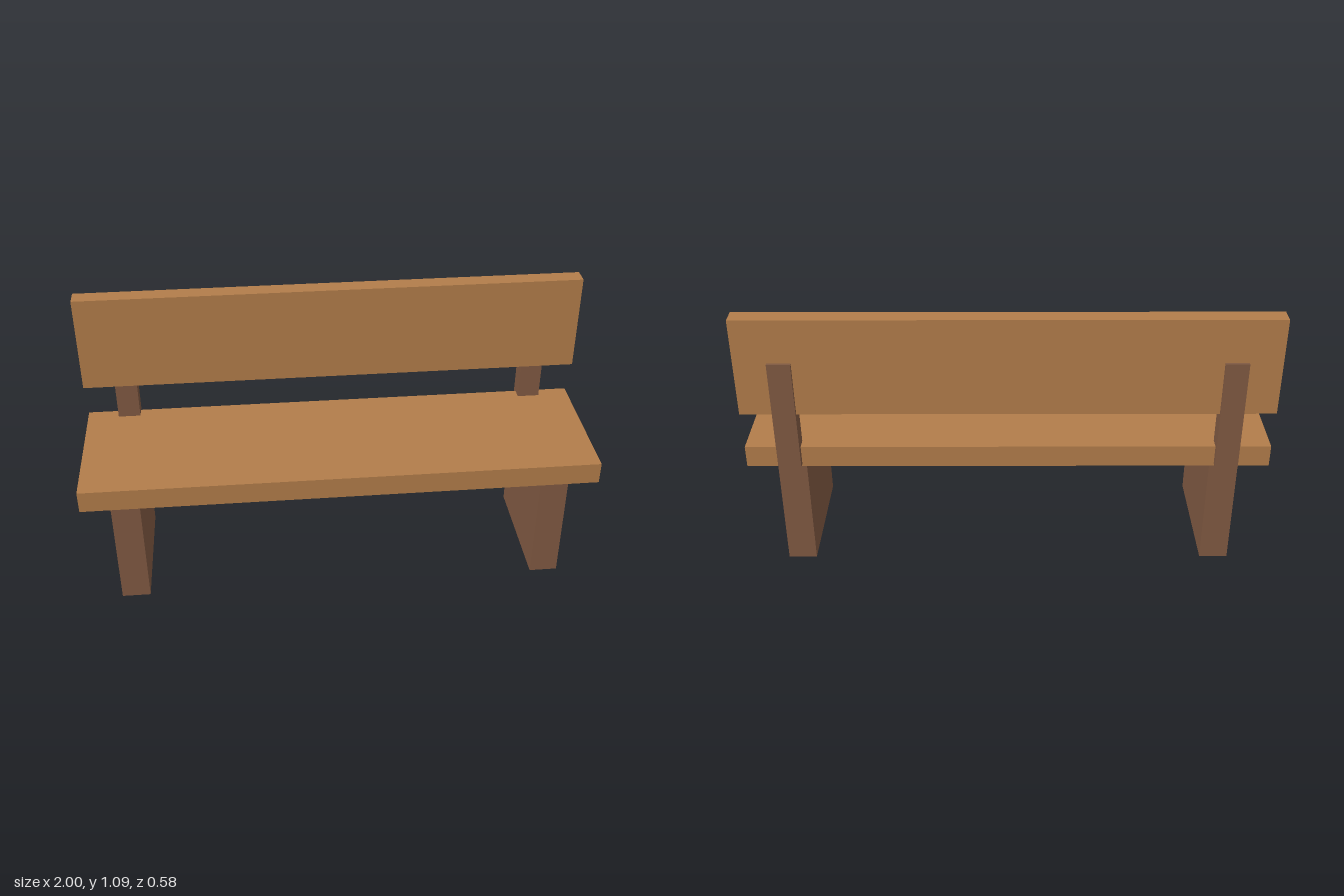
import * as THREE from 'three';

export function createModel() {
  const bench = new THREE.Group();
  bench.name = 'bench';

  const lightWood = new THREE.MeshStandardMaterial({ color: 0xb27d4a });
  lightWood.name = 'light wood';
  const darkWood = new THREE.MeshStandardMaterial({ color: 0x805942 });
  darkWood.name = 'dark wood';

  // Box given by its [min, max] extent on each axis
  function addBox(name, material, [x0, x1], [y0, y1], [z0, z1]) {
    const mesh = new THREE.Mesh(new THREE.BoxGeometry(x1 - x0, y1 - y0, z1 - z0), material);
    mesh.position.set((x0 + x1) / 2, (y0 + y1) / 2, (z0 + z1) / 2);
    mesh.name = name;
    bench.add(mesh);
  }

  // Seat and backrest planks
  addBox('seat', lightWood, [-1, 1], [0.458, 0.545], [-0.265, 0.289]);
  addBox('backrest', lightWood, [-1, 1], [0.697, 1.085], [-0.277, -0.21]);

  // Slab legs and backrest posts, one of each per side
  for (const [side, s] of [['left', 1], ['right', -1]]) {
    const span = (a, b) => (s > 0 ? [a, b] : [-b, -a]);
    addBox(`${side}Leg`, darkWood, span(0.777, 0.888), [0, 0.458], [-0.238, 0.262]);
    addBox(`${side}BackPost`, darkWood, span(0.788, 0.876), [0.469, 0.912], [-0.289, -0.222]);
  }

  return bench;
}
